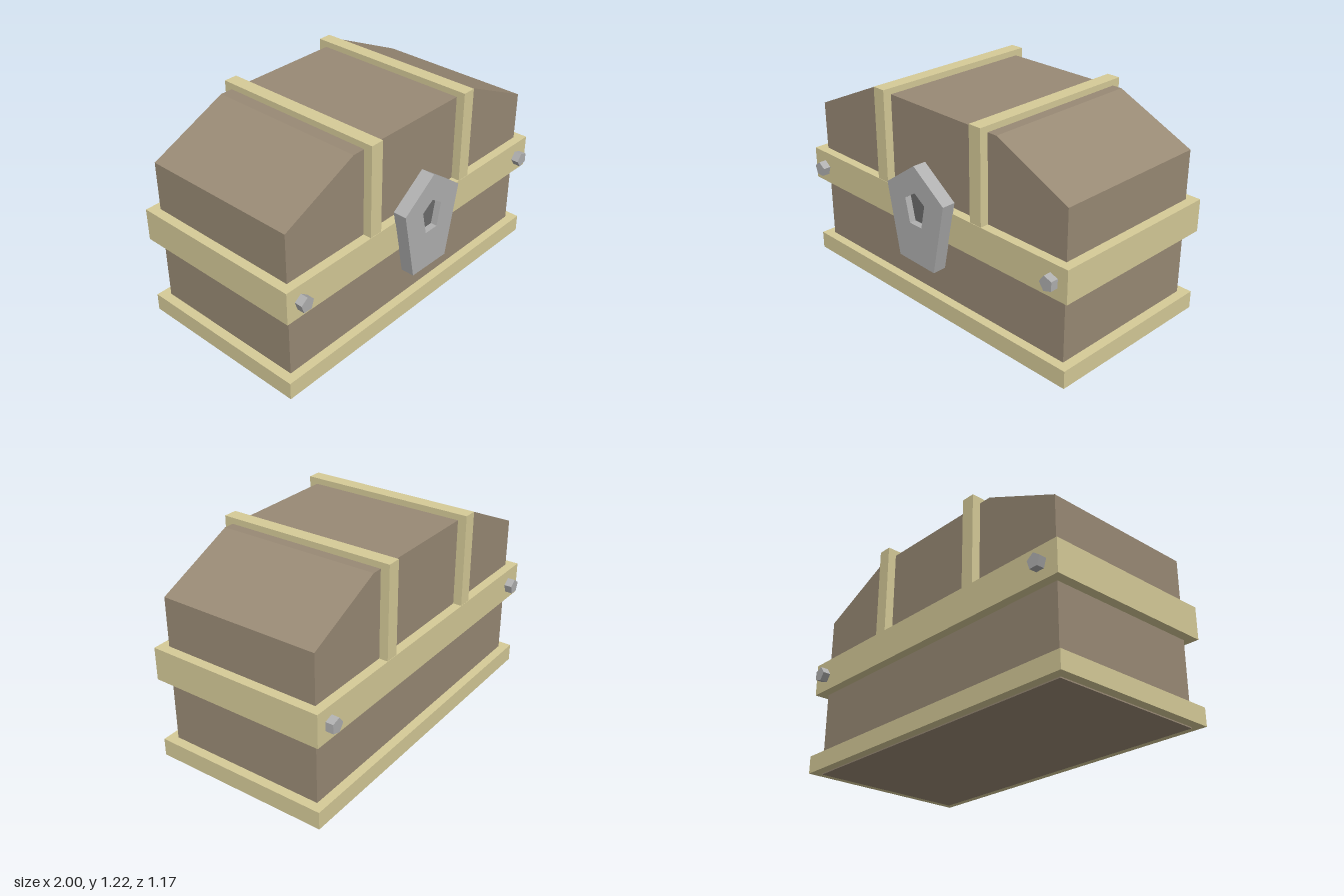
import * as THREE from 'three';

const mat = (color) => new THREE.MeshStandardMaterial({ color, flatShading: true });

export function createModel() {
  const chest = new THREE.Group();
  chest.name = 'chest';
  const wood = mat(0x998a75), trim = mat(0xd6cb98), metal = mat(0xb0b0b0), dark = mat(0x6c6c6c);

  const add = (name, geometry, material, x = 0, y = 0, z = 0) => {
    const mesh = new THREE.Mesh(geometry, material);
    mesh.name = name;
    mesh.position.set(x, y, z);
    chest.add(mesh);
    return mesh;
  };
  const outline = (points) => points.map(([x, y]) => new THREE.Vector2(x, y));
  const extrude = (shape, depth) => new THREE.ExtrudeGeometry(shape, { depth, bevelEnabled: false });

  // Wooden body with the sloped lid, one profile pulled front to back
  const profile = outline([[-0.945, 0], [0.945, 0], [0.945, 0.965], [0.475, 1.18], [-0.475, 1.18], [-0.945, 0.965]]);
  add('body', extrude(new THREE.Shape(profile), 0.945), wood, 0, 0, -0.487);

  // Trim bands around the base and the lid seam
  const zMid = -0.015, bandDepth = 1.05;
  add('baseBand', new THREE.BoxGeometry(2, 0.103, bandDepth), trim, 0, 0.0585, zMid);
  add('seamBand', new THREE.BoxGeometry(2, 0.19, bandDepth), trim, 0, 0.585, zMid);

  // Straps over the lid
  for (const [name, x] of [['rightStrap', -0.36], ['leftStrap', 0.376]])
    add(name, new THREE.BoxGeometry(0.08, 0.615, 1.046), trim, x, 0.9075, zMid);

  // Lock plate with a recessed keyhole
  const plate = new THREE.Shape(outline([[0, 0.907], [-0.222, 0.748], [-0.14, 0.335], [0.135, 0.329], [0.222, 0.748]]));
  const keyhole = outline([[0, 0.752], [0.075, 0.702], [0.046, 0.563], [-0.046, 0.563], [-0.077, 0.702]]);
  plate.holes.push(new THREE.Path(keyhole));
  add('lockPlate', extrude(plate, 0.079), metal, 0, 0, 0.507);
  add('keyholeFloor', new THREE.ShapeGeometry(new THREE.Shape(keyhole)), dark, 0, 0, 0.548);

  // Five-sided bolts at the corners of the seam band: x, z, turn
  const bolts = [
    ['frontRightBolt', -0.905, 0.53, Math.PI / 2],
    ['frontLeftBolt', 0.903, 0.53, Math.PI],
    ['backRightBolt', -0.886, -0.56, Math.PI / 2],
    ['backLeftBolt', 0.903, -0.56, Math.PI],
  ];
  for (const [name, x, z, turn] of bolts) {
    const geometry = new THREE.CylinderGeometry(0.044, 0.044, 0.05, 5);
    geometry.rotateX(Math.PI / 2);
    // the first corner now lies at -y, so add a quarter turn to aim it
    geometry.rotateZ(turn + Math.PI / 2);
    add(name, geometry, metal, x, 0.583, z);
  }
  return chest;
}
